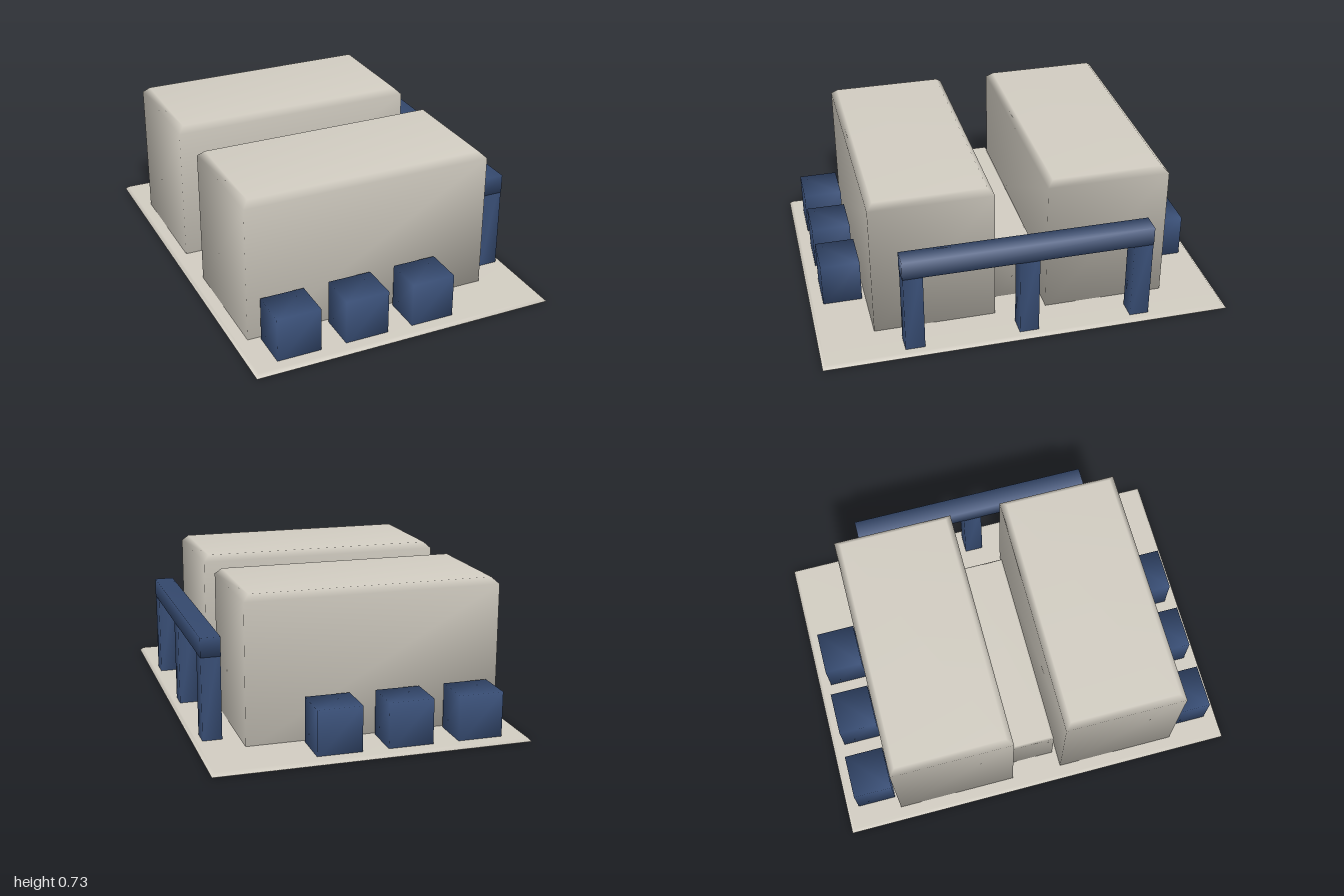
import * as THREE from 'three';
import { mergeVertices } from 'three/addons/utils/BufferGeometryUtils.js';

const stone = new THREE.MeshStandardMaterial({ color: 0xd2cdc2 });
stone.name = 'pale stone';
const navy = new THREE.MeshStandardMaterial({ color: 0x3a5078 });
navy.name = 'navy blue';

// Soft-shaded block between two corners, with an optional chamfer round the top.
function block(name, material, [x0, y0, z0], [x1, y1, z1], chamfer = 0) {
  const w = x1 - x0, h = y1 - y0, d = z1 - z0;
  const box = new THREE.BoxGeometry(w, h, d, 1, chamfer ? 2 : 1, 1);
  const p = box.attributes.position;
  for (let i = 0; chamfer && i < p.count; i++) {
    const y = p.getY(i);
    if (Math.abs(y) < 1e-6) p.setY(i, h / 2 - chamfer);
    else if (y > 0) {
      p.setX(i, p.getX(i) * (1 - (2 * chamfer) / w));
      p.setZ(i, p.getZ(i) * (1 - (2 * chamfer) / d));
    }
  }
  // Share corners so the shading runs smoothly over the edges.
  box.deleteAttribute('normal');
  box.deleteAttribute('uv');
  const geometry = mergeVertices(box);
  geometry.computeVertexNormals();
  const mesh = new THREE.Mesh(geometry, material);
  mesh.name = name;
  mesh.position.set((x0 + x1) / 2, (y0 + y1) / 2, (z0 + z1) / 2);
  return mesh;
}

export function createModel() {
  const model = new THREE.Group();
  model.name = 'twinHallSite';

  // Ground slab
  model.add(block('baseSlab', stone, [-0.755, 0.002, -1], [0.755, 0.02, 1], 0.016));

  // Two halls with a low link between them
  model.add(block('frontHall', stone, [-0.69, 0, 0.127], [0.54, 0.725, 0.725], 0.03));
  model.add(block('backHall', stone, [-0.69, 0, -0.727], [0.54, 0.725, -0.129], 0.03));
  model.add(block('linkBlock', stone, [-0.61, 0, -0.105], [0.41, 0.3, 0.105], 0.01));

  // Rows of units along the front and back
  for (const x of [-0.63, -0.29, 0.05]) {
    model.add(block('frontUnit', navy, [x, 0, 0.742], [x + 0.215, 0.238, 0.935]));
    model.add(block('backUnit', navy, [x, 0, -0.938], [x + 0.215, 0.238, -0.745]));
  }

  // Frame on the left side: three posts carrying a beam
  const frame = new THREE.Group();
  frame.name = 'pipeFrame';
  for (const z of [-0.556, 0, 0.556]) {
    frame.add(block('framePost', navy, [0.621, 0, z - 0.047], [0.714, 0.51, z + 0.047]));
  }
  frame.add(block('frameBeam', navy, [0.62, 0.42, -0.605], [0.715, 0.513, 0.605]));
  model.add(frame);

  return model;
}
